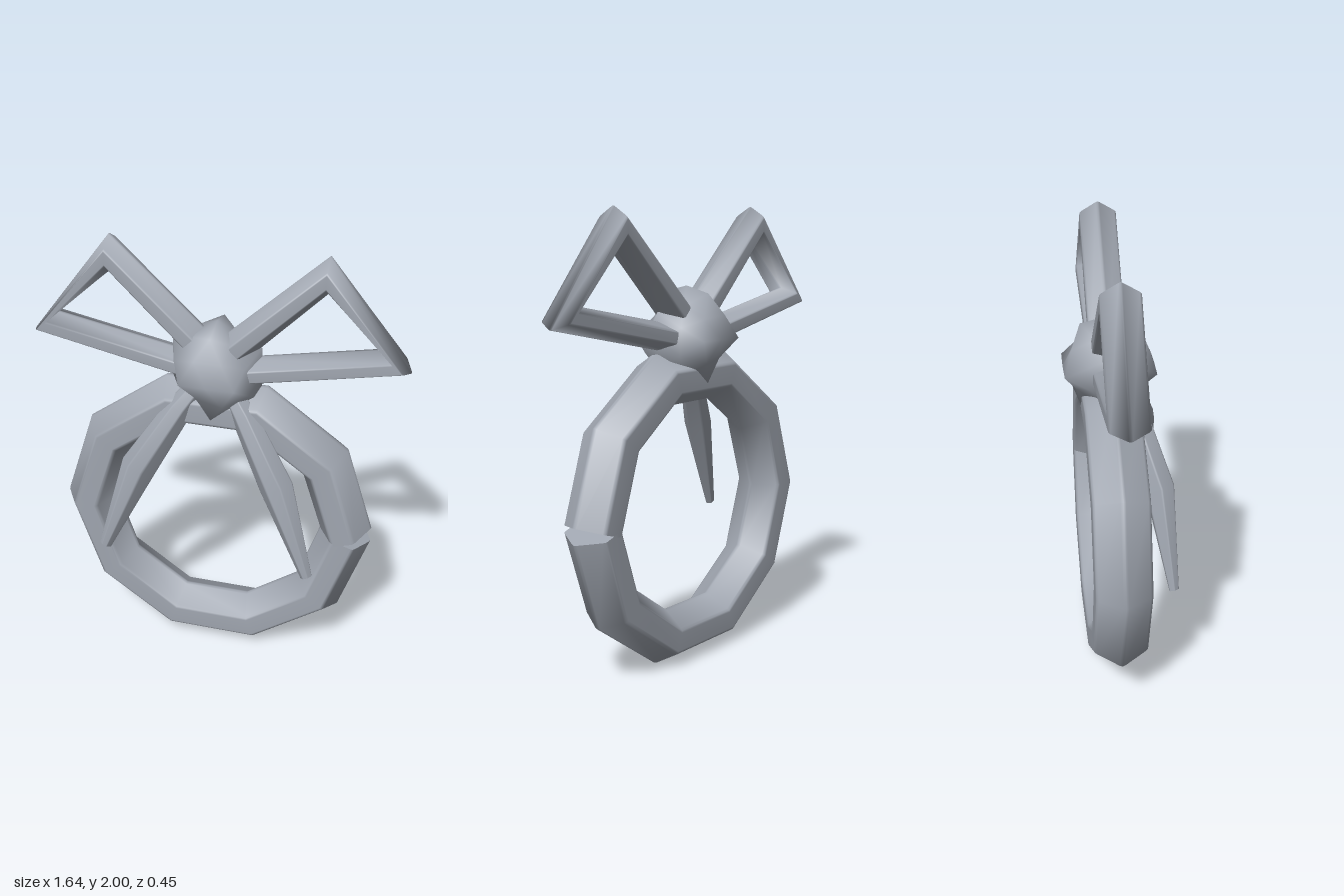
import * as THREE from 'three';
import { mergeVertices } from 'three/addons/utils/BufferGeometryUtils.js';

const Z0 = -0.03; // middle plane of ring, bow and knot
const V = (x, y, z = 0) => new THREE.Vector3(x, y, z);

// Unit hexagon with points on the first axis and slightly rounded corners
function hexProfile(shoulder = 0.42, cut = 0.1) {
  const h = [[1, 0], [shoulder, 1], [-shoulder, 1], [-1, 0], [-shoulder, -1], [shoulder, -1]];
  const out = [];
  h.forEach((p, i) => {
    for (const q of [h[(i + 5) % 6], p, h[(i + 1) % 6]]) {
      const t = q === p ? 0.025 : cut;
      out.push(q === p
        ? [p[0] * (1 - t), p[1] * (1 - t)]
        : [p[0] + (q[0] - p[0]) * t, p[1] + (q[1] - p[1]) * t]);
    }
  });
  // keep the points at full reach
  return out.map(([a, b]) => [a * 1.03, Math.max(-1, Math.min(1, b))]);
}
const PROFILE = hexProfile();

// Skin a row of sections { c: centre, a: half-width vector, b: half-depth vector }, closing both ends
function loft(sections) {
  const n = PROFILE.length, pos = [], idx = [];
  const s0 = sections[0];
  const dir = sections[1].c.clone().sub(s0.c);
  const sign = Math.sign(s0.a.clone().cross(s0.b).dot(dir));
  const ring = (s) => PROFILE.forEach(([u, v]) => {
    const p = s.c.clone().addScaledVector(s.a, u).addScaledVector(s.b, v * sign);
    pos.push(p.x, p.y, p.z);
  });
  sections.forEach(ring);
  for (let j = 0; j < sections.length - 1; j++) {
    for (let i = 0; i < n; i++) {
      const k = (i + 1) % n, o = j * n, p = o + n;
      idx.push(o + i, o + k, p + k, o + i, p + k, p + i);
    }
  }
  [s0, sections[sections.length - 1]].forEach((s, end) => {
    const o = pos.length / 3;
    ring(s);
    for (let i = 1; i < n - 1; i++) {
      if (end) idx.push(o, o + i, o + i + 1);
      else idx.push(o, o + i + 1, o + i);
    }
  });
  const g = new THREE.BufferGeometry();
  g.setAttribute('position', new THREE.Float32BufferAttribute(pos, 3));
  g.setIndex(idx);
  g.computeVertexNormals();
  return g;
}

// Ten-sided band, split at its left corner where the ends are cut square
function ringGeometry() {
  const R = 0.605, half = 0.115, step = Math.PI / 5, sections = [];
  for (let i = 0; i <= 10; i++) {
    const t = i * step;
    const end = i === 0 ? step / 2 : i === 10 ? -step / 2 : 0;
    const h = end ? half : half / Math.cos(step / 2);
    sections.push({
      c: V(R * Math.cos(t), 0.69 + R * Math.sin(t), Z0),
      a: V(Math.cos(t + end), Math.sin(t + end)).multiplyScalar(h),
      b: V(0, 0, 0.12),
    });
  }
  return loft(sections);
}

// Knot: icosahedron with pinched edges that give a twisted look
function knotGeometry() {
  let g = new THREE.IcosahedronGeometry(1, 1);
  g.deleteAttribute('normal');
  g.deleteAttribute('uv');
  g = mergeVertices(g, 1e-4);
  g.rotateZ(Math.PI / 2);
  const p = g.attributes.position, v = V(0, 0);
  const phi = (1 + Math.sqrt(5)) / 2, len = Math.hypot(1, phi);
  const corners = [];
  for (const s of [1, -1]) for (const t of [1, -1]) {
    corners.push(V(s, 0, t * phi), V(0, s * phi, t), V(s * phi, t, 0));
  }
  for (let i = 0; i < p.count; i++) {
    v.fromBufferAttribute(p, i);
    const isCorner = corners.some((c) => c.dot(v) / len > 0.99);
    let r = 0.228;
    if (!isCorner) {
      r *= v.y > 0.95 ? 0.98 : Math.abs(v.z) > 0.95 ? 0.86 : v.x * v.y > 0.05 ? 0.76 : 0.88;
    }
    v.multiplyScalar(r);
    p.setXYZ(i, v.x, v.y, v.z);
  }
  g.computeVertexNormals();
  return g;
}

// Bow loop: upper bar, slim outer bar, lower bar
const LOOP = [
  [0.05, 1.52, -0.05, 0.05],
  [0.46, 1.92, 0, 0.08],
  [0.765, 1.575, 0.055, -0.045],
  [0.05, 1.43, 0.012, -0.06],
];
const loopGeometry = (side) => loft(LOOP.map(([x, y, ax, ay]) => ({
  c: V(side * x, y, Z0), a: V(side * ax, ay), b: V(0, 0, 0.08),
})));

// Ribbon tail: swells in the middle, tapers to a blunt tip, leans forward
const TAIL = [
  [0.08, 1.36, 0.03, 0.05, 0.045],
  [0.14, 1.28, 0.065, 0.06, 0.05],
  [0.31, 1.0, 0.155, 0.08, 0.06],
  [0.47, 0.575, 0.205, 0.028, 0.02],
];
const tailGeometry = (side) => loft(TAIL.map(([x, y, z, w, d]) => ({
  c: V(side * x, y, z), a: V(side * 0.88, 0.42).multiplyScalar(w), b: V(0, 0.25, 0.97).multiplyScalar(d),
})));

export function createModel() {
  const metal = new THREE.MeshStandardMaterial({ color: 0xa0a6b0 });
  metal.name = 'blue grey metal';
  const model = new THREE.Group();
  model.name = 'bowRing';
  const add = (name, geometry) => {
    const mesh = new THREE.Mesh(geometry, metal);
    mesh.name = name;
    model.add(mesh);
    return mesh;
  };

  add('band', ringGeometry());
  add('knot', knotGeometry()).position.set(0, 1.44, Z0);
  for (const [side, label] of [[1, 'left'], [-1, 'right']]) {
    add(label + 'BowLoop', loopGeometry(side));
    add(label + 'RibbonTail', tailGeometry(side));
  }
  return model;
}
